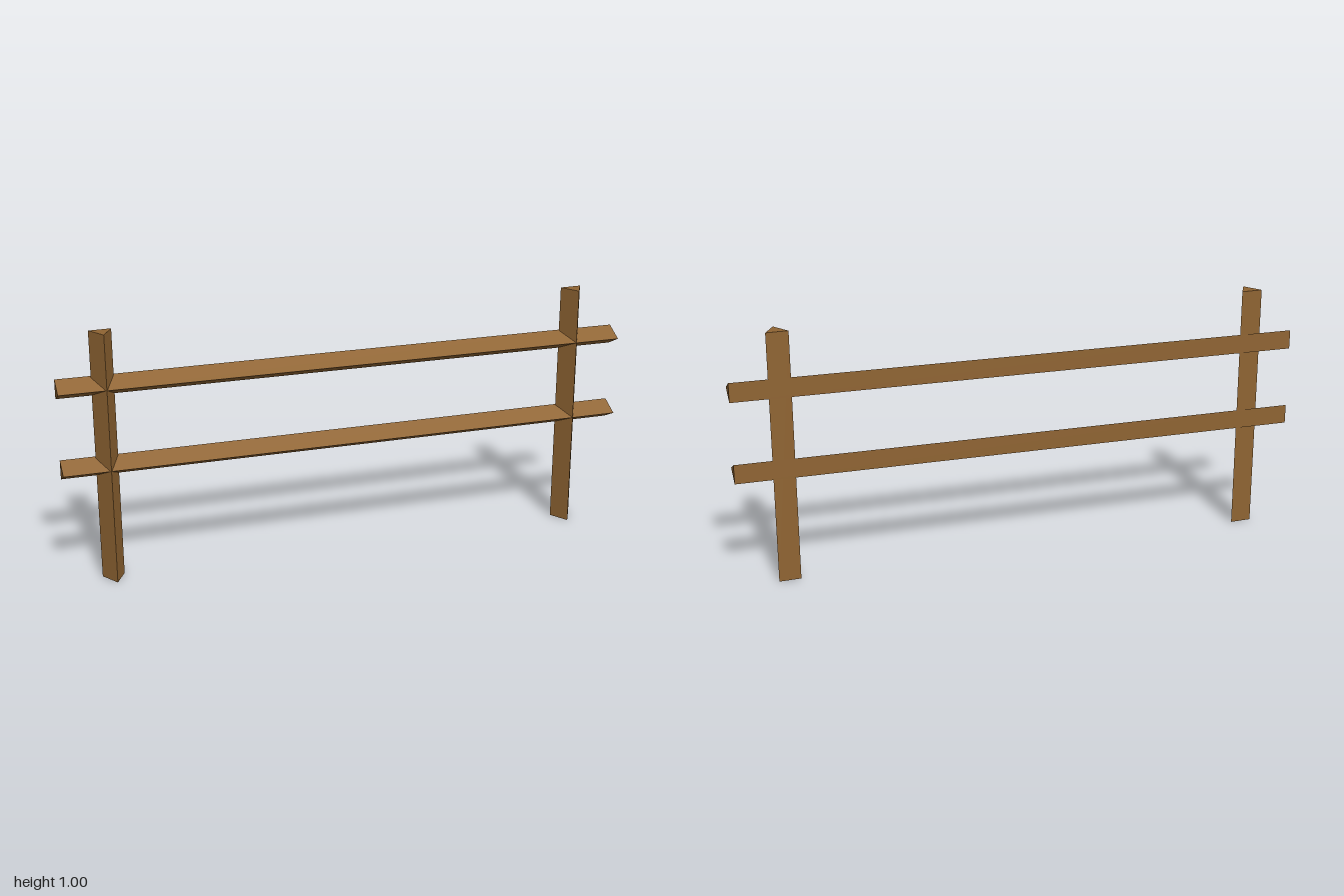
import * as THREE from 'three';

const ANGLE = THREE.MathUtils.degToRad(30.7); // how far the fence line is turned
const RAIL_LENGTH = 2.28;
const RAIL_SIZE = 0.077;

export function createModel() {
  const fence = new THREE.Group();
  fence.name = 'fence';
  const wood = new THREE.MeshStandardMaterial({ color: 0x8f6432, flatShading: true });
  wood.name = 'brown wood';

  // Upright posts: three-sided prisms
  const postGeometry = new THREE.CylinderGeometry(0.05, 0.05, 1, 3);
  const posts = [['rightPost', -0.823, -0.497], ['leftPost', 0.824, 0.476]];
  for (const [name, x, z] of posts) {
    const post = new THREE.Mesh(postGeometry, wood);
    post.name = name;
    post.position.set(x, 0.5, z);
    post.rotation.y = THREE.MathUtils.degToRad(91.5);
    fence.add(post);
  }

  // Rails: split logs with a flat back and a ridge along the front
  const h = RAIL_SIZE / 2;
  const section = new THREE.Shape([
    new THREE.Vector2(-h, -h),
    new THREE.Vector2(h, 0),
    new THREE.Vector2(-h, h),
  ]);
  const railGeometry = new THREE.ExtrudeGeometry(section, { depth: RAIL_LENGTH, bevelEnabled: false });
  railGeometry.translate(0, 0, -RAIL_LENGTH / 2).rotateY(-Math.PI / 2);
  for (const [name, y] of [['lowerRail', 0.461], ['upperRail', 0.783]]) {
    const rail = new THREE.Mesh(railGeometry, wood);
    rail.name = name;
    rail.position.y = y;
    rail.rotation.y = -ANGLE;
    fence.add(rail);
  }
  return fence;
}
